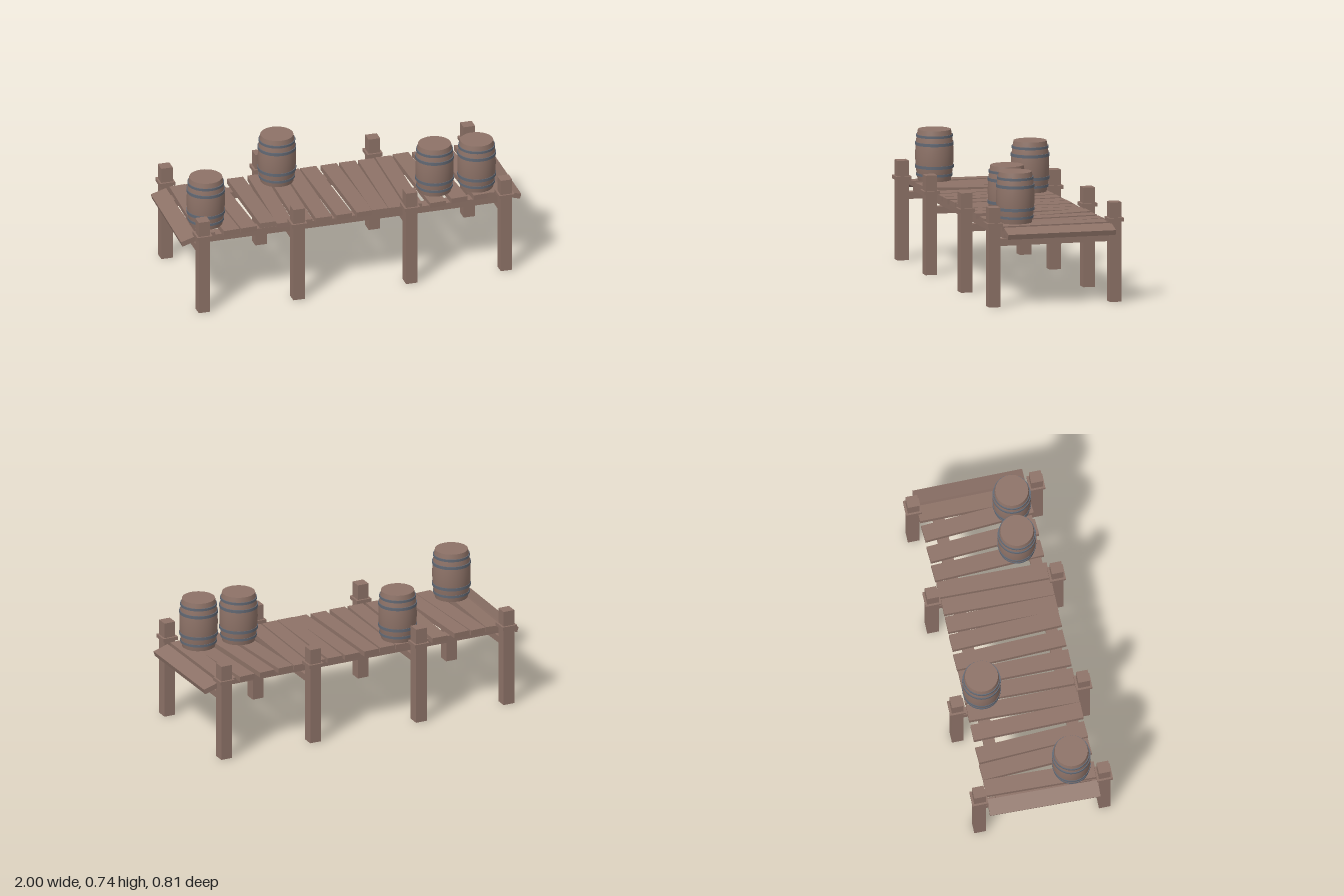
import * as THREE from 'three';

const wood = new THREE.MeshStandardMaterial({ color: 0x8d7267 });
wood.name = 'weathered wood';
const iron = new THREE.MeshStandardMaterial({ color: 0x626873 });
iron.name = 'iron';

function box(parent, name, size, pos, rot = [0, 0, 0]) {
  const m = new THREE.Mesh(new THREE.BoxGeometry(...size), wood);
  m.name = name;
  m.position.set(...pos);
  m.rotation.set(...rot);
  parent.add(m);
  return m;
}

// Barrel radius at a height above its base
const HEIGHT = 0.288;
const barrelRadius = (y) => 0.108 - 0.015 * ((2 * y) / HEIGHT - 1) ** 2;

function makeBarrel() {
  const barrel = new THREE.Group();
  barrel.name = 'barrel';
  const profile = [];
  for (let i = 0; i <= 10; i++) {
    const y = (HEIGHT * i) / 10;
    profile.push(new THREE.Vector2(barrelRadius(y), y));
  }
  const staves = new THREE.Mesh(new THREE.LatheGeometry(profile, 28), wood);
  staves.name = 'staves';
  barrel.add(staves);

  for (const top of [true, false]) {
    const head = new THREE.Mesh(new THREE.CircleGeometry(barrelRadius(0), 28), wood);
    head.name = top ? 'barrelTop' : 'barrelBottom';
    head.rotation.x = top ? -Math.PI / 2 : Math.PI / 2;
    head.position.y = top ? HEIGHT : 0;
    barrel.add(head);
  }

  // Four iron hoops, the inner two slightly taller
  for (const [y, h] of [[0.034, 0.014], [0.08, 0.017], [0.209, 0.017], [0.253, 0.014]]) {
    const r = barrelRadius(y) + 0.004;
    const hoop = new THREE.Mesh(new THREE.CylinderGeometry(r, r, h, 28), iron);
    hoop.name = 'hoop';
    hoop.position.y = y;
    barrel.add(hoop);
  }
  return barrel;
}

export function createModel() {
  const dock = new THREE.Group();
  dock.name = 'dock';

  // Post pairs with collars, joined by cross beams: x, front z, back z
  const bents = [
    [-0.89, 0.36, -0.355],
    [-0.335, 0.36, -0.365],
    [0.33, 0.35, -0.365],
    [0.885, 0.35, -0.358],
  ];
  for (const [x, front, back] of bents) {
    for (const z of [front, back]) {
      box(dock, 'post', [0.067, 0.565, 0.067], [x, 0.2825, z]);
      box(dock, 'postCollar', [0.09, 0.02, 0.09], [x, 0.467, z]);
    }
    box(dock, 'crossBeam', [0.045, 0.04, front - back], [x, 0.365, (front + back) / 2]);
  }

  // Long beams under the planks
  for (const z of [0.257, -0.225]) {
    box(dock, 'stringer', [1.8, 0.04, 0.066], [0, 0.405, z]);
  }

  // Deck planks: x, z, yaw, roll, pitch, y
  const planks = [
    [-0.948, 0.005, -0.025, 0.3, 0, 0.42],
    [-0.842, 0.005, -0.03, 0.04, 0, 0.44],
    [-0.722, 0.005, 0.05, 0, 0, 0.44],
    [-0.62, 0.005, 0.045, 0, 0, 0.442],
    [-0.495, 0.005, 0, 0, -0.03, 0.447],
    [-0.385, 0.005, -0.03, 0, 0, 0.44],
    [-0.275, 0.005, -0.02, 0, 0, 0.44],
    [-0.167, 0.005, 0, 0, 0, 0.441],
    [-0.055, 0, 0.03, 0, 0, 0.44],
    [0.065, 0, 0.03, 0, 0, 0.44],
    [0.165, 0, 0, 0, 0, 0.441],
    [0.268, 0, -0.02, 0, 0, 0.44],
    [0.372, -0.005, -0.02, 0, 0, 0.44],
    [0.494, -0.01, 0.045, 0, 0.02, 0.437],
    [0.615, -0.012, 0.06, 0, 0, 0.44],
    [0.745, -0.015, 0.065, 0, 0, 0.44],
    [0.845, -0.018, 0, -0.04, 0, 0.44],
    [0.95, -0.02, 0, -0.3, 0, 0.42],
  ];
  for (const [x, z, yaw, roll, pitch, y] of planks) {
    box(dock, 'plank', [0.094, 0.03, 0.63], [x, y, z], [pitch, yaw, roll]);
  }

  // Barrels standing on the deck
  for (const [x, z] of [[-0.82, 0.19], [-0.28, -0.21], [0.53, 0.165], [0.77, 0.187]]) {
    const barrel = makeBarrel();
    barrel.position.set(x, 0.456, z);
    dock.add(barrel);
  }
  return dock;
}
